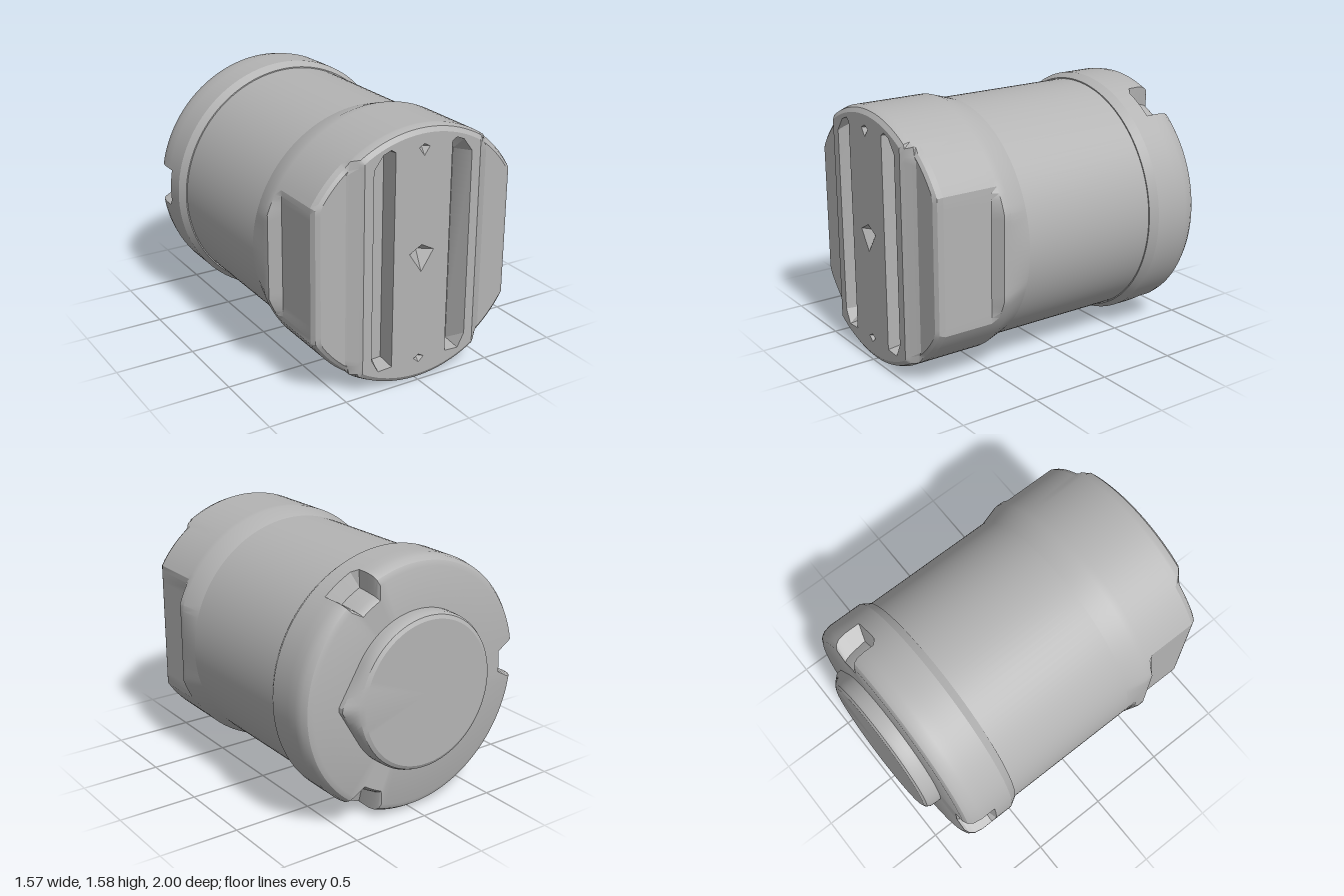
import * as THREE from 'three';
import { toCreasedNormals } from 'three/addons/utils/BufferGeometryUtils.js';

const SEG = 120;
const rad = THREE.MathUtils.degToRad;
const angles = Array.from({ length: SEG }, (_, k) => rad(3 * k + 1.5));
const notchAngles = [58.5, 178.5, 298.5].map(rad);

// Skin closed loops of points, listed from front to back
function loft(loops, crease = 0.45) {
  const n = loops[0].length, index = [];
  for (let i = 0; i < loops.length - 1; i++) {
    for (let j = 0; j < n; j++) {
      const a = i * n + j, b = i * n + (j + 1) % n, c = a + n, d = b + n;
      index.push(a, c, d, a, d, b);
    }
  }
  const geo = new THREE.BufferGeometry();
  geo.setAttribute('position', new THREE.Float32BufferAttribute(loops.flat(2), 3));
  geo.setIndex(index);
  return toCreasedNormals(geo, crease);
}

// Circle with flats at x = +-flat, a smaller shoulder radius and rim notches
function ring({ z, r, flat = 2, shoulder = r, notch = 0 }) {
  return angles.map((t) => {
    let radius = Math.abs(Math.cos(t)) < 0.6 ? r : shoulder;
    const off = Math.min(...notchAngles.map((n) => Math.abs(t - n)));
    if (off < rad(7)) radius -= notch;
    return [THREE.MathUtils.clamp(radius * Math.cos(t), -flat, flat), radius * Math.sin(t), z];
  });
}

const toVectors = (pts) => pts.map(([x, y]) => new THREE.Vector2(x, y));
const atDepth = (pts, z) => pts.map(([x, y]) => [x, y, z]);

export function createModel() {
  const group = new THREE.Group();
  const grey = new THREE.MeshStandardMaterial({ color: 0xb4b4b4 });
  grey.name = 'plain grey';
  const add = (geo, name) => {
    const mesh = new THREE.Mesh(geo, grey);
    mesh.name = name;
    mesh.position.y = 0.79;
    group.add(mesh);
  };

  // Flat-sided head with a raised centre block
  const head = [
    { z: 1.0, r: 0.75, flat: 0.39 },
    { z: 0.982, r: 0.777, flat: 0.415 },
    { z: 0.945, r: 0.79, flat: 0.475, shoulder: 0.755 },
    { z: 0.945, r: 0.79, flat: 0.635, shoulder: 0.755 },
    { z: 0.93, r: 0.79, flat: 0.66, shoulder: 0.775 },
    { z: 0.9, r: 0.79, flat: 0.675 },
    { z: 0.585, r: 0.79, flat: 0.675 },
    { z: 0.545, r: 0.79, flat: 0.745 },
    { z: 0.5, r: 0.79, flat: 0.75 },
    { z: 0.37, r: 0.75 },
  ].map(ring);
  add(loft(head), 'head');

  // Barrel
  add(loft([ring({ z: 0.37, r: 0.75 }), ring({ z: -0.53, r: 0.75 })]), 'barrel');

  // Rear collar with three rim notches
  add(loft([
    { z: -0.53, r: 0.75 },
    { z: -0.53, r: 0.757 },
    { z: -0.58, r: 0.787 },
    { z: -0.7, r: 0.787 },
    { z: -0.73, r: 0.787, notch: 0.1 },
    { z: -0.8, r: 0.787, notch: 0.11 },
    { z: -0.85, r: 0.778, notch: 0.11 },
    { z: -0.88, r: 0.757, notch: 0.1 },
    { z: -0.895, r: 0.725, notch: 0.08 },
    { z: -0.895, r: 0.3 },
  ].map(ring)), 'rearCollar');

  // Rear cap, round with a pointed lobe towards +x that fades out at the back
  const capRing = ([z, r, lobe]) => angles.map((t) => {
    const off = Math.min(t, 2 * Math.PI - t);
    const point = off < rad(31) ? 1 / Math.cos(off - rad(31)) - 1 : 0;
    const radius = r * (1 + point * lobe);
    return [radius * Math.cos(t), radius * Math.sin(t), z];
  });
  add(loft([
    [-0.89, 0.483, 1], [-0.925, 0.483, 0.95], [-0.965, 0.48, 0.45],
    [-0.988, 0.468, 0.15], [-1.0, 0.445, 0], [-1.0, 0, 0],
  ].map(capRing)), 'rearCap');

  // Two long slots, the outer wall leaning inwards
  const slotMouth = [[0.19, -0.65], [0.19, 0.67], [0.22, 0.69], [0.27, 0.67], [0.33, 0.59], [0.33, -0.57], [0.285, -0.655]];
  const slotFloor = slotMouth.map(([x, y]) => [Math.min(x, 0.285), y * 0.98]);
  const mirror = (pts) => pts.map(([x, y]) => [-x, y]).reverse();
  const holes = [];
  for (const [side, flip] of [['left', (p) => p], ['right', mirror]]) {
    const mouth = flip(slotMouth), floor = flip(slotFloor);
    holes.push(mouth);
    add(loft([atDepth(mouth, 1), atDepth(floor, 0.88)]), side + 'SlotWalls');
    const bottom = new THREE.ShapeGeometry(new THREE.Shape(toVectors(floor)));
    add(bottom.translate(0, 0, 0.88), side + 'SlotFloor');
  }

  // Kite-shaped pits: centre height, half width, top, bottom, depth
  for (const [y, w, top, low, depth] of [
    [0.04, 0.083, 0.085, -0.085, 0.06],
    [0.67, 0.036, 0.69, 0.62, 0.035],
    [-0.64, 0.036, -0.62, -0.672, 0.035],
  ]) {
    const mouth = [[-w, y], [0, top], [w, y], [0, low]];
    holes.push(mouth);
    add(loft([atDepth(mouth, 1), mouth.map(() => [0, y, 1 - depth])]), 'facePit');
  }

  // Front face with openings
  const face = new THREE.Shape(toVectors(head[0]));
  face.holes = holes.map((h) => new THREE.Path(toVectors(h)));
  add(new THREE.ShapeGeometry(face).translate(0, 0, 1), 'frontFace');

  return group;
}
